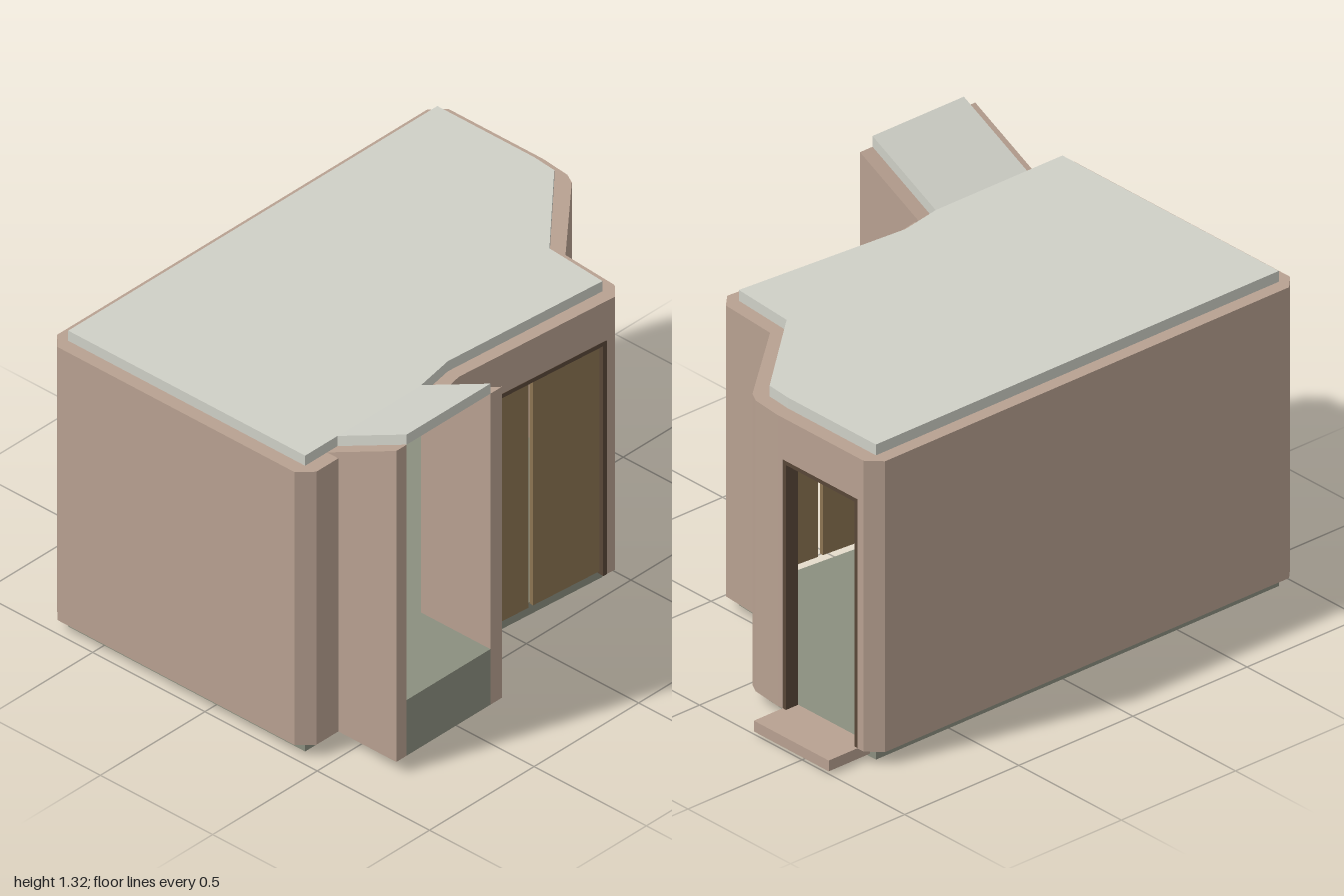
import * as THREE from 'three';

const material = (name, color) => {
  const m = new THREE.MeshStandardMaterial({ color });
  m.name = name;
  return m;
};

export function createModel() {
  const root = new THREE.Group();
  root.name = 'smallBuilding';
  const clay = material('clay wall', 0xb8a191);
  const pale = material('pale roof', 0xcfd0c7);
  const sage = material('sage floor', 0x8b8f7f);
  const tan = material('tan door', 0x8c7452);
  const brown = material('dark brown frame', 0x594738);

  const add = (name, geometry, mat, parent = root) => {
    const mesh = new THREE.Mesh(geometry, mat);
    mesh.name = name;
    parent.add(mesh);
    return mesh;
  };
  const box = (name, x0, x1, y0, y1, z0, z1, mat, parent) => {
    const g = new THREE.BoxGeometry(x1 - x0, y1 - y0, z1 - z0);
    g.translate((x0 + x1) / 2, (y0 + y1) / 2, (z0 + z1) / 2);
    return add(name, g, mat, parent);
  };
  // Upright prism over a plan outline of [x, z] points
  const prism = (name, plan, y0, y1, mat) => {
    const shape = new THREE.Shape(plan.map(([x, z]) => new THREE.Vector2(x, -z)));
    const g = new THREE.ExtrudeGeometry(shape, { depth: y1 - y0, bevelEnabled: false });
    g.rotateX(-Math.PI / 2).translate(0, y0, 0);
    return add(name, g, mat);
  };
  // Side profile of [x, y] points, carried from z0 to z1
  const sideProfile = (name, points, z0, z1, mat) => {
    const shape = new THREE.Shape(points.map(([x, y]) => new THREE.Vector2(x, y)));
    const g = new THREE.ExtrudeGeometry(shape, { depth: z1 - z0, bevelEnabled: false });
    g.translate(0, 0, z0);
    return add(name, g, mat);
  };

  const base = 0.05, head = 0.975, top = 1.13;

  // Floor and roof share the inner outline
  const inner = [[-0.66, -0.82], [-0.23, -0.82], [-0.13, -0.81], [0.165, -0.47], [0.42, -0.45],
    [0.365, 0.23], [0.395, 0.39], [0.395, 0.945], [-0.66, 0.945]];
  prism('floorSlab', inner, 0, base, sage);
  prism('roofSlab', inner, 1.09, 1.17, pale);

  // Walls between the openings
  prism('frontAndRightWall', [[-0.63, -0.875], [-0.66, -0.875], [-0.71, -0.825], [-0.71, 0.945],
    [-0.66, 0.995], [0.395, 0.995], [0.445, 0.945], [0.445, 0.84], [0.395, 0.84], [0.395, 0.945],
    [-0.66, 0.945], [-0.66, -0.82], [-0.63, -0.82]], base, top, clay);
  prism('wallBesideBay', [[0.435, 0.335], [0.413, 0.23], [0.414, 0.215], [0.366, 0.215],
    [0.365, 0.23], [0.395, 0.39], [0.395, 0.335]].slice(0, 6), base, top, clay);
  prism('backWall', [[0.468, -0.42], [0.471, -0.455], [0.425, -0.503], [0.19, -0.52],
    [-0.08, -0.84], [-0.12, -0.862], [-0.24, -0.875], [-0.265, -0.875], [-0.265, -0.82],
    [-0.23, -0.82], [-0.13, -0.81], [0.165, -0.47], [0.42, -0.45], [0.418, -0.42]], base, top, clay);
  prism('doubleDoorLintel', [[0.414, 0.215], [0.468, -0.42], [0.418, -0.42], [0.366, 0.215]],
    head, top, clay);
  box('backDoorLintel', -0.63, -0.265, head, top, -0.875, -0.82, clay);

  // Bay with sloping roof and low seat
  for (const [name, z0, z1] of [['bayBackCheek', 0.335, 0.39], ['bayFrontCheek', 0.79, 0.84]]) {
    sideProfile(name, [[0.395, base], [0.703, base], [0.703, 1.28], [0.395, top]], z0, z1, clay);
  }
  sideProfile('bayRoof', [[0.395, top], [0.703, 1.28], [0.703, 1.32], [0.395, 1.17]], 0.39, 0.79, pale);
  box('baySeat', 0.395, 0.703, base, 0.27, 0.39, 0.79, sage);

  // Door surround, built with its width along local z
  const doorFrame = (name, width) => {
    const group = new THREE.Group();
    group.name = name;
    const h = width / 2, t = 0.016, d = 0.026;
    for (const s of [-1, 1]) {
      const z = s * (h - t / 2);
      box('frameJamb', -d, d, base, head, z - t / 2, z + t / 2, brown, group);
    }
    box('frameHead', -d, d, head - t, head, -h + t, h - t, brown, group);
    root.add(group);
    return group;
  };

  // Double doors in the slanted side wall
  const doubleDoor = doorFrame('doubleDoor', 0.637);
  doubleDoor.position.set(0.4165, 0, -0.1025);
  doubleDoor.rotation.y = -0.084;
  box('doorLeaf', -0.008, 0.008, 0.06, 0.959, 0.01, 0.302, tan, doubleDoor);
  box('doorLeaf', -0.008, 0.008, 0.06, 0.959, -0.302, -0.01, tan, doubleDoor);

  // Back doorway with its leaf standing open inside
  const backDoor = doorFrame('backDoorFrame', 0.365);
  backDoor.position.set(-0.4475, 0, -0.8475);
  backDoor.rotation.y = Math.PI / 2;
  const leaf = box('openBackDoor', -0.008, 0.008, 0.06, 0.959, 0, 0.333, tan);
  leaf.position.set(-0.605, 0, -0.83);
  leaf.rotation.y = 0.1;

  // Doorstep
  box('doorStep', -0.63, -0.265, 0.01, base, -1, -0.82, clay);
  return root;
}
